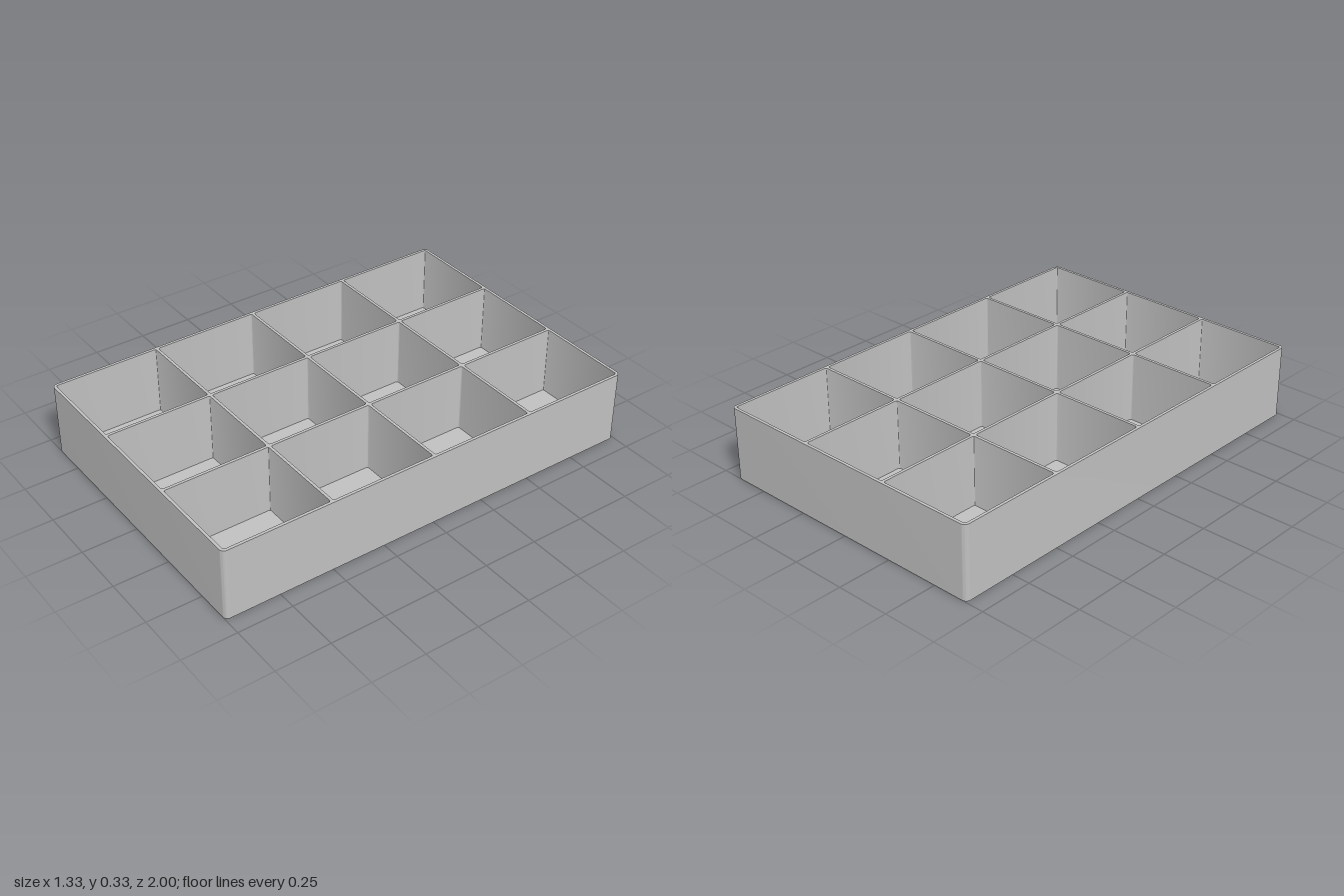
import * as THREE from 'three';
import { toCreasedNormals } from 'three/addons/utils/BufferGeometryUtils.js';

const WIDTH = 1.333, DEPTH = 2, HEIGHT = 0.333;
const WALL = 0.013, FLOOR = 0.013;
const COLUMNS = 3, ROWS = 4;

// Rounded rectangle centred on (cx, cy)
function roundedRect(path, cx, cy, w, h, r) {
  const x = w / 2 - r, y = h / 2 - r;
  path.absarc(cx + x, cy + y, r, 0, Math.PI / 2);
  path.absarc(cx - x, cy + y, r, Math.PI / 2, Math.PI);
  path.absarc(cx - x, cy - y, r, Math.PI, Math.PI * 1.5);
  path.absarc(cx + x, cy - y, r, Math.PI * 1.5, Math.PI * 2);
  path.closePath();
  return path;
}

// Plan shape extruded upwards, smooth round the corners
function slab(name, shape, bottom, top, material) {
  let geometry = new THREE.ExtrudeGeometry(shape, {
    depth: top - bottom, bevelEnabled: false, curveSegments: 8,
  });
  geometry.rotateX(-Math.PI / 2);
  geometry.translate(0, bottom, 0);
  geometry = toCreasedNormals(geometry, Math.PI / 6);
  const mesh = new THREE.Mesh(geometry, material);
  mesh.name = name;
  return mesh;
}

export function createModel() {
  const group = new THREE.Group();
  group.name = 'compartmentTray';
  const grey = new THREE.MeshStandardMaterial({ color: 0xc0c0c0 });
  grey.name = 'light grey';

  const outline = () => roundedRect(new THREE.Shape(), 0, 0, WIDTH, DEPTH, 0.022);

  // Outer walls and dividers: the outline with a grid of open cells
  const walls = outline();
  const cellW = (WIDTH - WALL * (COLUMNS + 1)) / COLUMNS;
  const cellD = (DEPTH - WALL * (ROWS + 1)) / ROWS;
  for (let i = 0; i < COLUMNS; i++) {
    for (let j = 0; j < ROWS; j++) {
      const x = (i - (COLUMNS - 1) / 2) * (cellW + WALL);
      const z = (j - (ROWS - 1) / 2) * (cellD + WALL);
      walls.holes.push(roundedRect(new THREE.Path(), x, z, cellW, cellD, 0.009));
    }
  }

  group.add(slab('floor', outline(), 0, FLOOR, grey));
  group.add(slab('wallsAndDividers', walls, FLOOR, HEIGHT, grey));
  return group;
}
